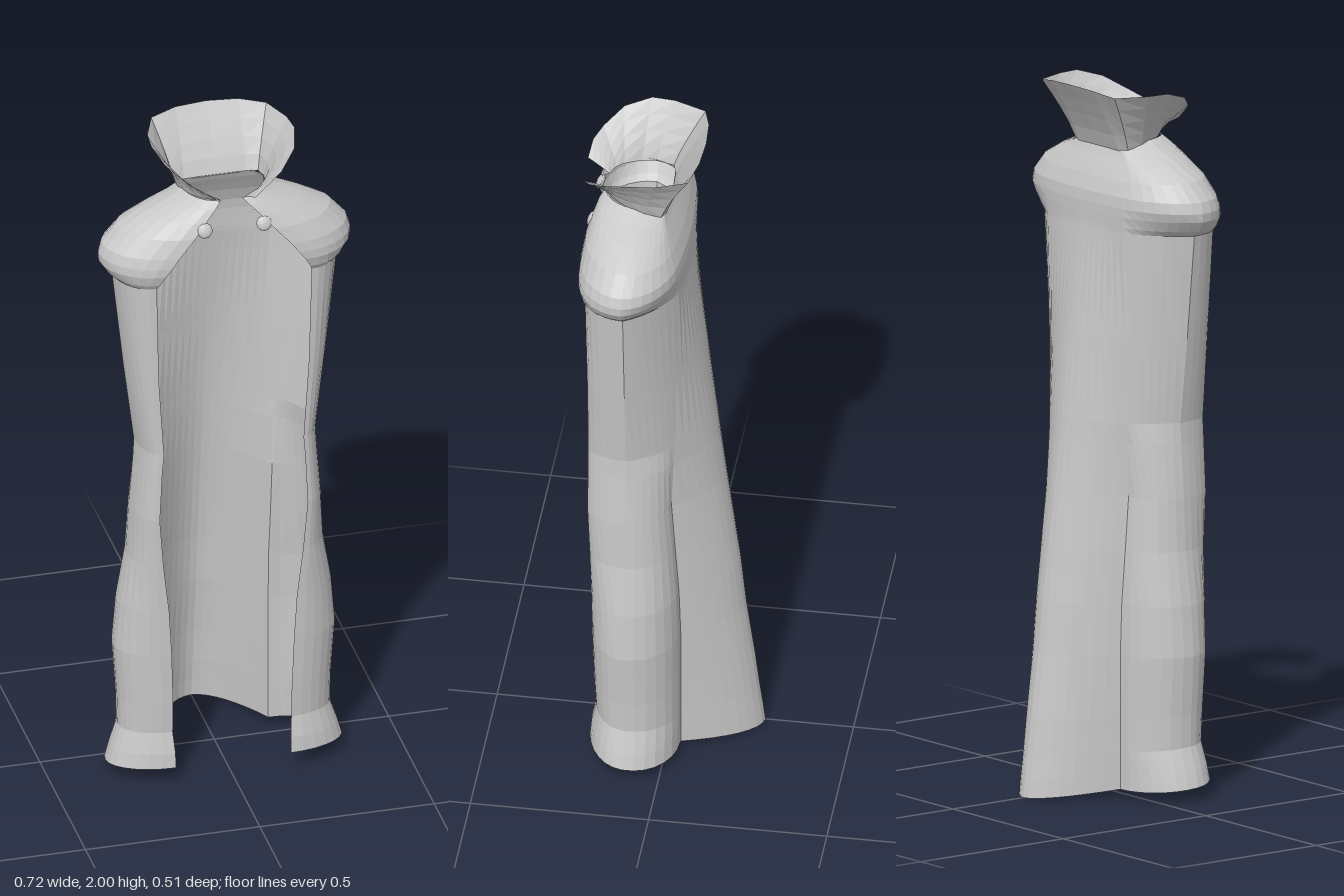
import * as THREE from 'three';

const cloth = new THREE.MeshStandardMaterial({ color: 0xc8c8c8, side: THREE.DoubleSide, flatShading: true });
cloth.name = 'grey cloth';

// Open sheet through rows of points
function loft(rows) {
  const n = rows[0].length, index = [];
  for (let r = 0; r < rows.length - 1; r++)
    for (let c = 0; c < n - 1; c++) {
      const a = r * n + c;
      index.push(a, a + n, a + n + 1, a, a + n + 1, a + 1);
    }
  const geometry = new THREE.BufferGeometry();
  geometry.setAttribute('position', new THREE.Float32BufferAttribute(rows.flat(2), 3));
  geometry.setIndex(index);
  geometry.computeVertexNormals();
  return geometry;
}

// Half row (back centre to left front edge) mirrored into a full row
const mirrorRow = half => [...half.slice(1).reverse().map(([x, y, z]) => [-x, y, z]), ...half];

// Cape levels: y, back z, crease x, crease z, outer x, front edge x, front z, roundness of the rear side
const levels = [
  [0.00, -0.253, 0.165, -0.04, 0.338, 0.165, 0.212, 1],
  [0.05, -0.247, 0.165, -0.04, 0.325, 0.165, 0.208, 1],
  [0.12, -0.237, 0.165, -0.04, 0.303, 0.17, 0.195, 1],
  [0.22, -0.225, 0.165, -0.04, 0.305, 0.17, 0.20, 1],
  [0.40, -0.20, 0.165, -0.04, 0.317, 0.175, 0.205, 1],
  [0.55, -0.185, 0.165, -0.035, 0.305, 0.183, 0.207, 1],
  [0.70, -0.165, 0.168, -0.025, 0.28, 0.20, 0.21, 0.95],
  [0.85, -0.145, 0.17, -0.015, 0.272, 0.212, 0.215, 0.85],
  [1.00, -0.126, 0.17, -0.02, 0.26, 0.205, 0.215, 0.6],
  [1.06, -0.119, 0.17, -0.024, 0.257, 0.20, 0.215, 0.35],
  [1.30, -0.09, 0.17, -0.03, 0.287, 0.215, 0.215, 0.3],
  [1.60, -0.052, 0.17, -0.035, 0.32, 0.222, 0.22, 0.4],
  [1.615, -0.051, 0.17, -0.036, 0.338, 0.216, 0.23, 0.5],
  [1.645, -0.05, 0.17, -0.038, 0.358, 0.20, 0.24, 0.65],
  [1.67, -0.049, 0.17, -0.038, 0.36, 0.182, 0.242, 0.8],
  [1.70, -0.045, 0.165, -0.035, 0.35, 0.16, 0.24, 0.85],
  [1.75, -0.03, 0.15, -0.02, 0.305, 0.115, 0.232, 0.85],
  [1.79, -0.015, 0.135, -0.005, 0.23, 0.08, 0.218, 0.9],
];
// Neckline, where the cape meets the collar
const neckLevels = [
  [1.82, 0.0, 0.115, 0.008, 0.16, 0.05, 0.205, 1],
  [1.84, 0.01, 0.10, 0.015, 0.12, 0.03, 0.19, 1],
];

function capeRow([y, zb, cx, cz, ox, ex, zf, round]) {
  const half = [], neck = THREE.MathUtils.smoothstep(y, 1.7, 1.84), zo = 0.1 - 0.03 * neck;
  // Back panel sweeping out to the crease
  for (let i = 0; i <= 8; i++) {
    const s = i / 8;
    half.push([cx * s, y, zb + (cz - zb) * s ** 1.8]);
  }
  // Rear side, between a straight slope and a quarter ellipse
  for (let i = 1; i <= 7; i++) {
    const t = i / 7, a = t * Math.PI / 2;
    const u = THREE.MathUtils.lerp(t, Math.sin(a), round);
    const v = THREE.MathUtils.lerp(t, 1 - Math.cos(a), round);
    half.push([cx + (ox - cx) * u, y, cz + (zo - cz) * v]);
  }
  // Front side, a quarter ellipse to the open edge
  for (let i = 1; i <= 7; i++) {
    const a = i / 7 * Math.PI / 2;
    half.push([ex + (ox - ex) * Math.cos(a), y, zo + (zf - zo) * Math.sin(a)]);
  }
  // Hem rises to the front; neckline drops to the back
  const hem = Math.max(0, 1 - y / 0.5);
  for (const p of half) p[1] += hem * 0.11 * (p[2] + 0.253) + neck * 0.25 * Math.min(0, p[2] - 0.1);
  return mirrorRow(half);
}

// Collar half outlines from back centre to front end
const collarBase = [
  [0, 1.815, 0.01], [0.09, 1.815, 0.012], [0.12, 1.82, 0.022], [0.122, 1.828, 0.07],
  [0.112, 1.833, 0.11], [0.085, 1.838, 0.155], [0.065, 1.84, 0.174], [0.048, 1.84, 0.183], [0.03, 1.84, 0.19],
];
const collarRim = [
  [0, 2.0, -0.087], [0.09, 1.997, -0.081], [0.165, 1.985, -0.06], [0.2, 1.985, 0.03],
  [0.206, 1.985, 0.095], [0.185, 1.962, 0.17], [0.135, 1.925, 0.222], [0.095, 1.905, 0.245], [0.052, 1.872, 0.253],
];

function collarRow(t) {
  const flare = t ** 1.2;
  return mirrorRow(collarBase.map(([x, y, z], i) => {
    const [X, Y, Z] = collarRim[i];
    return [x + (X - x) * flare, y + (Y - y) * t, z + (Z - z) * flare];
  }));
}

export function createModel() {
  const model = new THREE.Group();
  model.name = 'cape';
  const add = (name, geometry) => {
    const mesh = new THREE.Mesh(geometry, cloth);
    mesh.name = name;
    model.add(mesh);
    return mesh;
  };

  add('capeBody', loft([...levels, ...neckLevels].map(capeRow)));
  add('standingCollar', loft([0, 0.25, 0.5, 0.75, 1].map(collarRow)));

  // Clasp buttons on the front edges
  for (const side of [-1, 1]) {
    const button = add(side > 0 ? 'leftButton' : 'rightButton', new THREE.SphereGeometry(0.022, 14, 8));
    button.scale.z = 0.5;
    button.position.set(side * 0.085, 1.768, 0.222);
    button.rotation.x = -0.4;
  }
  return model;
}
